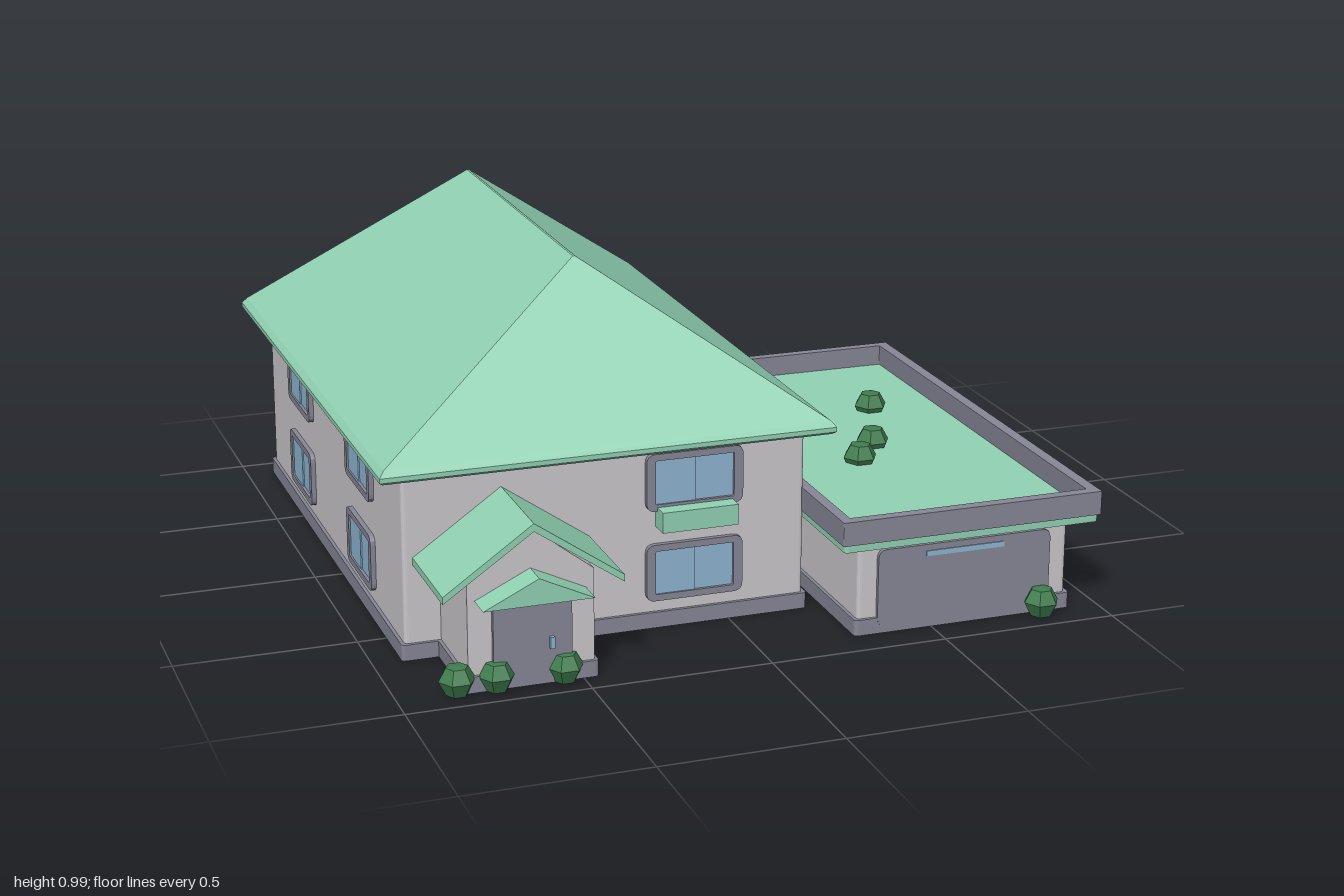
import * as THREE from 'three';

const mat = (name, color) => Object.assign(new THREE.MeshStandardMaterial({ color }), { name });

export function createModel() {
  const house = new THREE.Group();
  house.name = 'house';
  const wall = mat('wall grey', 0xcbc8cc);
  const trim = mat('trim grey', 0x878797);
  const green = mat('roof green', 0x92d3b4);
  const glass = mat('window glass', 0x8fb6d4);
  const leaf = mat('bush green', 0x3f7d4e);

  const add = (name, geometry, material, parent = house) => {
    const m = new THREE.Mesh(geometry, material);
    m.name = name;
    parent.add(m);
    return m;
  };

  const box = (name, x0, x1, y0, y1, z0, z1, material, parent) =>
    add(name, new THREE.BoxGeometry(x1 - x0, y1 - y0, z1 - z0), material, parent)
      .position.set((x0 + x1) / 2, (y0 + y1) / 2, (z0 + z1) / 2);

  const roundRect = (x0, x1, y0, y1, r, Type = THREE.Shape) => {
    const s = new Type();
    s.moveTo(x0 + r, y0);
    s.lineTo(x1 - r, y0);
    s.quadraticCurveTo(x1, y0, x1, y0 + r);
    s.lineTo(x1, y1 - r);
    s.quadraticCurveTo(x1, y1, x1 - r, y1);
    s.lineTo(x0 + r, y1);
    s.quadraticCurveTo(x0, y1, x0, y1 - r);
    s.lineTo(x0, y0 + r);
    s.quadraticCurveTo(x0, y0, x0 + r, y0);
    return s;
  };

  const extrude = (shape, depth) =>
    new THREE.ExtrudeGeometry(shape, { depth, bevelEnabled: false, curveSegments: 4 });

  // Upright block with softened vertical corners
  const block = (name, x0, x1, z0, z1, y0, y1, material, r = 0.012) =>
    add(name, extrude(roundRect(x0, x1, -z1, -z0, r), y1 - y0).rotateX(-Math.PI / 2), material)
      .position.y = y0;

  // Upright profile pushed from z0 to z1
  const prism = (name, points, z0, z1, material) => {
    const shape = new THREE.Shape(points.map(([x, y]) => new THREE.Vector2(x, y)));
    add(name, extrude(shape, z1 - z0), material).position.z = z0;
  };

  // Main house
  block('mainPlinth', -0.92, 0.23, -0.93, 0.67, 0, 0.045, trim);
  block('mainWalls', -0.91, 0.22, -0.92, 0.66, 0.045, 0.53, wall);

  // Hipped roof: rectangular rings from the eaves up to the ridge line
  const rings = [
    [-0.97, 0.28, -0.99, 0.71, 0.514],
    [-0.98, 0.29, -1.0, 0.72, 0.522],
    [-0.98, 0.29, -1.0, 0.72, 0.535],
    [-0.966, 0.276, -0.988, 0.708, 0.552],
    [-0.348, -0.342, -0.655, 0.385, 0.985],
  ];
  const corners = rings.map(([x0, x1, z0, z1, y]) =>
    [[x0, y, z1], [x1, y, z1], [x1, y, z0], [x0, y, z0]]);
  const roofPoints = [];
  const quad = (a, b, c, d) => roofPoints.push(...a, ...b, ...c, ...a, ...c, ...d);
  for (let i = 0; i < rings.length - 1; i++) {
    for (let k = 0; k < 4; k++) {
      const n = (k + 1) % 4;
      quad(corners[i][k], corners[i][n], corners[i + 1][n], corners[i + 1][k]);
    }
  }
  quad(...corners[0].slice().reverse());
  quad(...corners[rings.length - 1]);
  const roof = new THREE.BufferGeometry();
  roof.setAttribute('position', new THREE.Float32BufferAttribute(roofPoints, 3));
  roof.computeVertexNormals();
  add('mainRoof', roof, green);

  // Garage with flat roof and parapet
  block('garagePlinth', 0.275, 0.915, -0.45, 0.905, 0, 0.045, trim);
  block('garageWalls', 0.285, 0.905, -0.44, 0.895, 0.045, 0.27, wall);
  block('garageRoof', 0.222, 0.97, -0.505, 0.95, 0.262, 0.29, green);
  const parapet = roundRect(0.215, 0.975, -0.957, 0.512, 0.003);
  parapet.holes.push(roundRect(0.245, 0.942, -0.925, 0.482, 0.003, THREE.Path));
  add('garageParapet', extrude(parapet, 0.067).rotateX(-Math.PI / 2), trim).position.y = 0.284;

  // Garage door with a slim window
  add('garageDoor', extrude(roundRect(0.34, 0.85, 0.02, 0.24, 0.025), 0.012), trim).position.z = 0.894;
  box('garageDoorWindow', 0.48, 0.71, 0.207, 0.222, 0.904, 0.909, glass);

  // Porch: gabled walls, chevron roof and small canopy over the door
  block('porchPlinth', -0.82, -0.458, 0.6, 0.93, 0, 0.045, trim);
  prism('porchWalls', [[-0.81, 0.045], [-0.468, 0.045], [-0.468, 0.3], [-0.639, 0.432], [-0.81, 0.3]],
    0.64, 0.92, wall);
  prism('porchRoof', [[-0.883, 0.265], [-0.639, 0.433], [-0.395, 0.265], [-0.395, 0.285],
    [-0.639, 0.455], [-0.883, 0.285]], 0.64, 0.955, green);
  prism('doorCanopy', [[-0.79, 0.25], [-0.49, 0.25], [-0.64, 0.322]], 0.91, 1, green);

  // Front door and handle
  add('frontDoor', extrude(roundRect(-0.745, -0.532, 0.012, 0.24, 0.02), 0.014), trim).position.z = 0.919;
  box('doorHandle', -0.594, -0.582, 0.1, 0.132, 0.93, 0.944, glass);

  // Windows: rounded frame, two sliding panes, optional planter box
  const frame = roundRect(-0.138, 0.138, -0.081, 0.081, 0.025);
  frame.holes.push(roundRect(-0.112, 0.112, -0.062, 0.062, 0.004, THREE.Path));
  const frameGeometry = extrude(frame, 0.014);
  const addWindow = (x, y, z, turn, planter = false) => {
    const w = new THREE.Group();
    w.name = 'window';
    w.position.set(x, y, z);
    w.rotation.y = turn;
    house.add(w);
    add('windowFrame', frameGeometry, trim, w);
    box('leftPane', -0.112, 0.002, -0.062, 0.062, 0, 0.009, glass, w);
    box('rightPane', 0.002, 0.112, -0.062, 0.062, 0, 0.005, glass, w);
    if (planter) box('planter', -0.108, 0.108, -0.128, -0.07, -0.005, 0.06, green, w);
  };
  const low = 0.16, high = 0.418, side = Math.PI / 2;
  addWindow(-0.1, low, 0.66, 0);
  addWindow(-0.1, high, 0.66, 0, true);
  for (const x of [-0.1, -0.59]) {
    addWindow(x, low, -0.92, Math.PI);
    addWindow(x, high, -0.92, Math.PI, true);
  }
  for (const z of [0.225, -0.49]) {
    addWindow(0.22, high, z, side);
    addWindow(-0.91, high, z, -side);
    addWindow(-0.91, low, z, -side);
  }
  for (const z of [0.525, -0.065]) addWindow(0.905, low, z, side);
  addWindow(0.595, low, -0.44, Math.PI);

  // Bushes: faceted six-sided balls on the ground and on the garage roof
  const bushGeometry = new THREE.LatheGeometry(
    [[0, -0.04], [0.03, -0.04], [0.05, 0], [0.03, 0.036], [0, 0.04]].map((p) => new THREE.Vector2(...p)),
    6, Math.PI / 2).toNonIndexed();
  bushGeometry.computeVertexNormals();
  const bushes = [
    [-0.84, 0.04, 0.92], [-0.735, 0.04, 0.925], [-0.55, 0.04, 0.925], [0.82, 0.04, 0.925],
    [0.735, 0.305, -0.075], [0.61, 0.305, 0.23], [0.52, 0.305, 0.35],
  ];
  for (const p of bushes) add('bush', bushGeometry, leaf).position.set(...p);

  return house;
}
